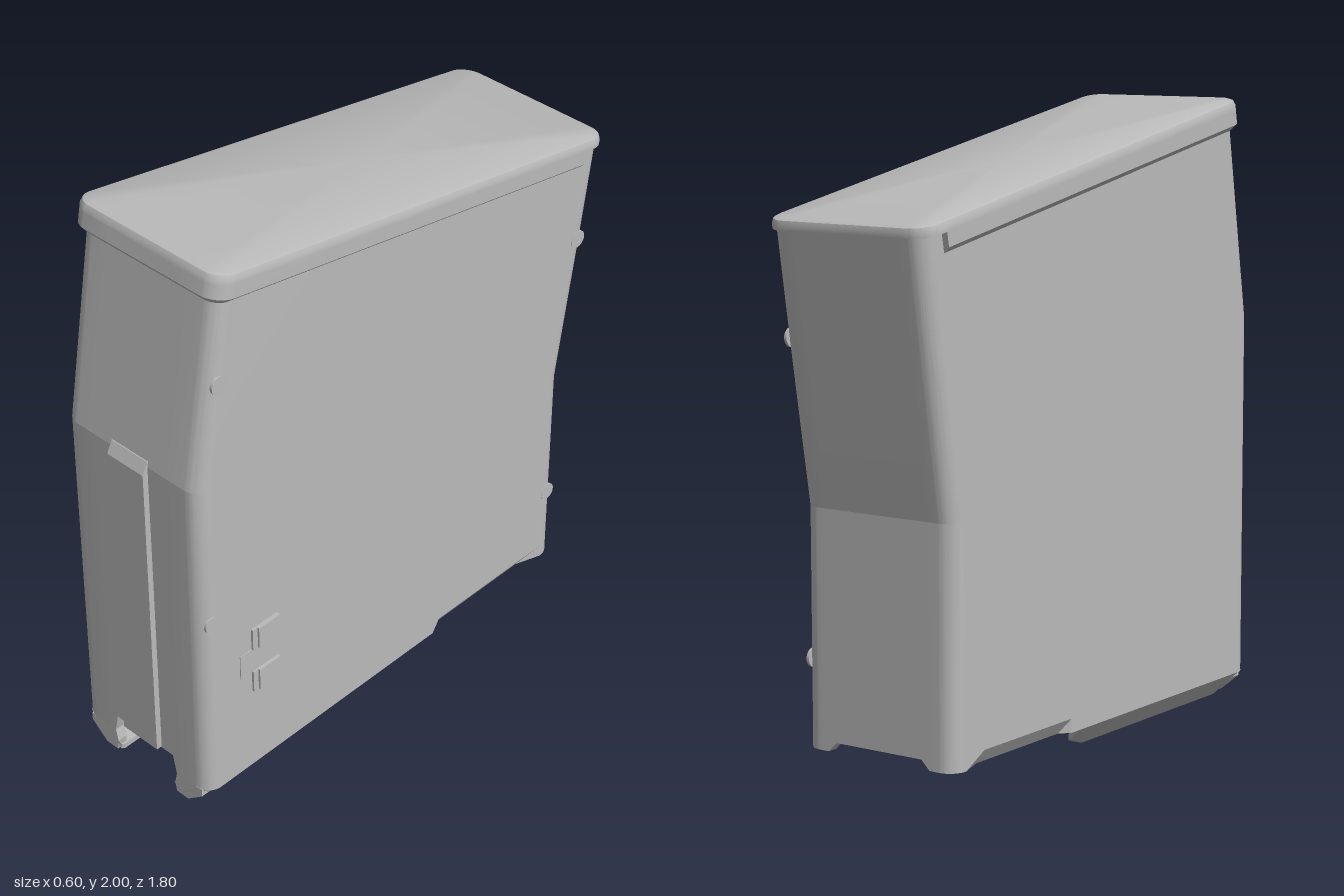
import * as THREE from 'three';
import { toCreasedNormals } from 'three/addons/utils/BufferGeometryUtils.js';

const TILT = 0.181;      // slope of the lid
const SIDE_Z = [-0.15, -0.18, -0.6, -0.69];
const BACK_X = [0.19, 0.16, -0.16, -0.19];
const FRONT_X = [-0.14, -0.125, 0.125, 0.14];

// Rounded rectangle in plan, with break points on its straight sides; y may be a rule of x and z
function ring(hw, zf, zb, r, y, bend = p => p) {
  const pts = [], n = 12;
  const arc = (cx, cz, q) => {
    for (let i = 0; i <= n; i++) {
      const t = (q + i / n) * Math.PI / 2;
      pts.push([cx + r * Math.cos(t), cz - r * Math.sin(t)]);
    }
  };
  SIDE_Z.forEach(z => pts.push([hw, z]));
  arc(hw - r, zb + r, 0);
  BACK_X.forEach(x => pts.push([x, zb]));
  arc(r - hw, zb + r, 1);
  [...SIDE_Z].reverse().forEach(z => pts.push([-hw, z]));
  arc(r - hw, zf - r, 2);
  FRONT_X.forEach(x => pts.push([x, zf]));
  arc(hw - r, zf - r, 3);
  return pts.map(([x, z]) => bend([x, typeof y === 'function' ? y(x, z) : y, z]));
}

// Skin a list of rings and close both ends
function loft(rings, crease) {
  const n = rings[0].length, pos = rings.flat(2), idx = [];
  for (let i = 0; i < rings.length - 1; i++) {
    for (let j = 0; j < n; j++) {
      const a = i * n + j, b = i * n + (j + 1) % n;
      idx.push(a, b, b + n, a, b + n, a + n);
    }
  }
  [0, rings.length - 1].forEach(k => {
    const c = pos.length / 3;
    for (let a = 0; a < 3; a++) pos.push(rings[k].reduce((s, p) => s + p[a], 0) / n);
    for (let j = 0; j < n; j++) {
      const p = k * n + j, q = k * n + (j + 1) % n;
      if (k) idx.push(c, p, q); else idx.push(c, q, p);
    }
  });
  const g = new THREE.BufferGeometry();
  g.setAttribute('position', new THREE.Float32BufferAttribute(pos, 3));
  g.setIndex(idx);
  return toCreasedNormals(g, crease);
}

export function createModel() {
  const model = new THREE.Group();
  model.name = 'slantedCase';
  const grey = new THREE.MeshStandardMaterial({ color: 0xbababa });
  grey.name = 'plain grey';
  const add = (name, geo, parent = model) => {
    const m = new THREE.Mesh(geo, grey);
    m.name = name;
    parent.add(m);
    return m;
  };
  const box = (name, x0, x1, y0, y1, z0, z1) =>
    add(name, new THREE.BoxGeometry(x1 - x0, y1 - y0, z1 - z0))
      .position.set((x0 + x1) / 2, (y0 + y1) / 2, (z0 + z1) / 2);
  const extrude = (pts, depth) => new THREE.ExtrudeGeometry(
    new THREE.Shape(pts.map(p => new THREE.Vector2(...p))), { depth, bevelEnabled: false });

  // Hollow body: down the inside, round the bottom rim, up the outside
  const rim = (x, z) => {
    if (z > 0.8 && Math.abs(x) < 0.13) return 0.16;
    if (z < -0.7 && Math.abs(x) < 0.17) return 0.12;
    return 0.09;
  };
  const chamfer = ([x, y, z]) =>
    [z < -0.17 && z > -0.61 && Math.abs(x) > 0.27 ? Math.sign(x) * 0.25 : x, y, z];
  const slope = h => (x, z) => h + 0.1835 * (z + 0.06);
  const t = 0.035;
  const wall = (hw, zf, zb, y) => ring(hw, zf, zb, 0.055, y);
  const inner = (zf, zb, y) => ring(0.28 - t, zf - t, zb + t, 0.03, y);
  add('body', loft([
    inner(0.77, -0.885, slope(1.77)),
    inner(0.88, -0.826, 1.28),
    inner(0.88, -0.75, 0.83),
    inner(0.88, -0.75, 0.17),
    inner(0.88, -0.75, rim),
    ring(0.28, 0.88, -0.75, 0.055, rim, chamfer),
    wall(0.28, 0.88, -0.75, (x, z) => Math.max(rim(x, z) + 0.002, 0.135)),
    wall(0.28, 0.88, -0.75, 0.17),
    wall(0.28, 0.88, -0.75, 0.83),
    wall(0.28, 0.88, -0.826, 1.28),
    wall(0.28, 0.766, -0.888, slope(1.815)),
  ], 0.14));

  // Sloping lid with a skirt that stops short of the back
  const lid = new THREE.Group();
  lid.name = 'lid';
  lid.position.set(0, 1.8495, -0.06);
  lid.rotation.x = -TILT;
  model.add(lid);
  const lidRing = (inset, y) => ring(0.3 - inset, 0.859 - inset, -0.853 + inset, 0.07 - inset, y);
  add('lidPlate', loft([
    lidRing(0, -0.035), lidRing(0, -0.02), lidRing(0.006, -0.006), lidRing(0.02, 0),
  ], 0.5), lid);
  const skirtRing = (inset, y) => ring(0.3 - inset, 0.859 - inset, -0.757, 0.07 - inset, y,
    ([x, yy, z]) => (z < -0.68 ? [Math.abs(x) > 0.2 ? Math.sign(x) * (0.3 - inset) : x, yy, z] : [x, yy, z]));
  add('lidSkirt', loft([skirtRing(0.022, -0.1), skirtRing(0, -0.08), skirtRing(0, -0.03)], 0.4), lid);

  // Inward-sloping lips along the lower front half, and the legs beside the front notch
  const A = [0.28, 0.092], G = [0.245, 0.1];
  const outer = [[0.19, 0.01], [0.18, 0], [0.13, 0]], inside = [[0.13, 0.02], [0.175, 0.025]];
  const lipRing = (z, s, dx = 0) => {
    const mix = (a, b) => [a[0] + (b[0] - a[0]) * s - dx, a[1] + (b[1] - a[1]) * s, z];
    return [mix(A, A), ...outer.map(p => mix(A, p)), ...inside.map(p => mix(G, p)), mix(G, G)];
  };
  const lipRings = [lipRing(0.88, 0.65, 0.045), lipRing(0.87, 0.88, 0.02),
    lipRing(0.855, 0.97, 0.007), lipRing(0.83, 1)];
  for (let i = 0; i <= 8; i++) {
    lipRings.push(lipRing(0.05 - 0.025 * i, Math.max(0.02, 1 - Math.sin(i / 8 * Math.PI / 2))));
  }
  const lipGeo = loft(lipRings, 0.3);
  const legGeo = extrude([[0.25, 0.095], [0.25, 0.066], [0.186, 0.012], [0.135, 0.012],
    [0.13, 0.05], [0.14, 0.095]], 0.035).translate(0, 0, 0.844);
  for (const side of [1, -1]) {
    const name = side > 0 ? 'left' : 'right';
    add(name + 'Lip', lipGeo).scale.x = side;
    add(name + 'FrontLeg', legGeo).scale.x = side;
    // Guide rib on the inside wall
    box(name + 'InnerRib', side * 0.238 - 0.012, side * 0.238 + 0.012, 0.1, 1.6, -0.33, -0.27);
  }

  // Raised spine on the front, chamfered at the top
  const spine = extrude([[-0.9, 0.165], [-0.87, 0.165], [-0.87, 1.3], [-0.88, 1.3], [-0.9, 1.26]], 0.15);
  add('frontSpine', spine.rotateY(Math.PI / 2).translate(-0.075, 0, 0));

  // Catch on the left side: two tabs around a flush cross bar
  for (const y of [0.4, 0.57]) {
    box('catchTab', 0.27, 0.295, y, y + 0.08, 0.57, 0.66);
    box('catchTabStep', 0.27, 0.288, y, y + 0.08, 0.66, 0.68);
  }
  box('catchBar', 0.275, 0.283, 0.48, 0.57, 0.57, 0.73);

  // Round pin marks near the edges of the left side
  const pin = new THREE.CylinderGeometry(0.03, 0.03, 0.009, 24).rotateZ(Math.PI / 2);
  for (const [z, y] of [[0.78, 1.63], [0.835, 0.77], [-0.71, 0.36], [-0.795, 1.34]]) {
    add('pinMark', pin).position.set(0.277, y, z);
  }
  return model;
}
